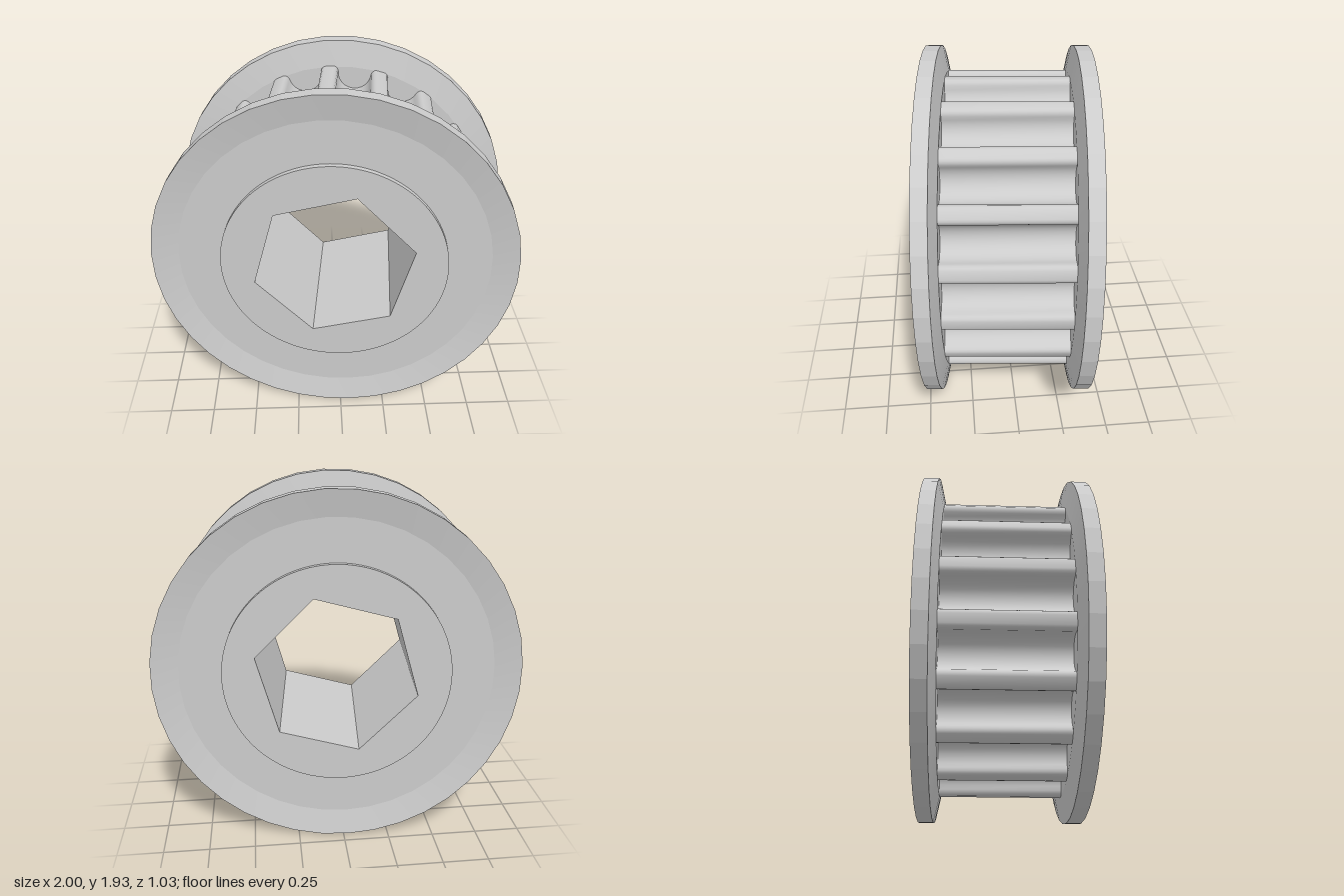
import * as THREE from 'three';
import { toCreasedNormals } from 'three/addons/utils/BufferGeometryUtils.js';

const TEETH = 18;
const HUB_R = 0.602;
const HUB_HALF = 0.435;    // half length along the axle
const CORE_HALF = 0.325;   // half width of the toothed belt track

const material = new THREE.MeshStandardMaterial({ color: 0xcccccc });

function addMesh(parent, name, geometry, crease) {
  const mesh = new THREE.Mesh(toCreasedNormals(geometry, crease), material);
  mesh.name = name;
  parent.add(mesh);
  return mesh;
}

function extrudeCentred(shape, half) {
  const geometry = new THREE.ExtrudeGeometry(shape, {
    depth: half * 2, bevelEnabled: false, curveSegments: 72,
  });
  return geometry.translate(0, 0, -half);
}

// Narrow rounded teeth separated by half-round grooves
function toothedShape() {
  const points = [];
  const put = (u, v, angle) => points.push(
    new THREE.Vector2(u, v).rotateAround(new THREE.Vector2(), angle));
  const tip = [
    [0.819, -0.044], [0.829, -0.035], [0.833, -0.023],
    [0.833, 0.023], [0.829, 0.035], [0.819, 0.044],
  ];
  const pitch = (Math.PI * 2) / TEETH;
  for (let i = 0; i < TEETH; i++) {
    for (const [u, v] of tip) put(u, v, i * pitch);
    for (let k = 0; k <= 12; k++) {
      const s = (k / 12) * Math.PI;
      put(0.8 - 0.092 * Math.sin(s), -0.092 * Math.cos(s), (i + 0.5) * pitch);
    }
  }
  return new THREE.Shape(points);
}

export function createModel() {
  const model = new THREE.Group();
  model.name = 'timingPulley';

  // The whole wheel is turned slightly on its axle and about the vertical
  const wheel = new THREE.Group();
  wheel.name = 'wheel';
  wheel.position.y = 0.967;
  wheel.rotation.set(0, -0.085, 0.2513);
  model.add(wheel);

  // Toothed belt track around the hub
  const track = toothedShape();
  track.holes.push(new THREE.Path().absarc(0, 0, HUB_R, 0, Math.PI * 2, true));
  addMesh(wheel, 'toothedTrack', extrudeCentred(track, CORE_HALF), 0.8);

  // Hub with a hexagonal bore right through
  const hub = new THREE.Shape().absarc(0, 0, HUB_R, 0, Math.PI * 2, false);
  const hex = [];
  for (let i = 0; i < 6; i++) {
    const a = (-i * Math.PI) / 3;
    hex.push(new THREE.Vector2(0.441 * Math.cos(a), 0.441 * Math.sin(a)));
  }
  hub.holes.push(new THREE.Path(hex));
  addMesh(wheel, 'hexBoreHub', extrudeCentred(hub, HUB_HALF), 0.8);

  // Two flanges whose rims flare outwards
  const profile = [
    [HUB_R - 0.004, 0.325], [0.83, 0.325], [0.969, 0.355],
    [0.969, 0.435], [0.83, 0.405], [HUB_R - 0.004, 0.405],
  ].map(([r, y]) => new THREE.Vector2(r, y));
  for (const [name, turn] of [['frontFlange', 0], ['backFlange', Math.PI]]) {
    const flange = new THREE.LatheGeometry(profile, 40).rotateX(Math.PI / 2);
    addMesh(wheel, name, flange, 0.15).rotation.y = turn;
  }

  return model;
}
